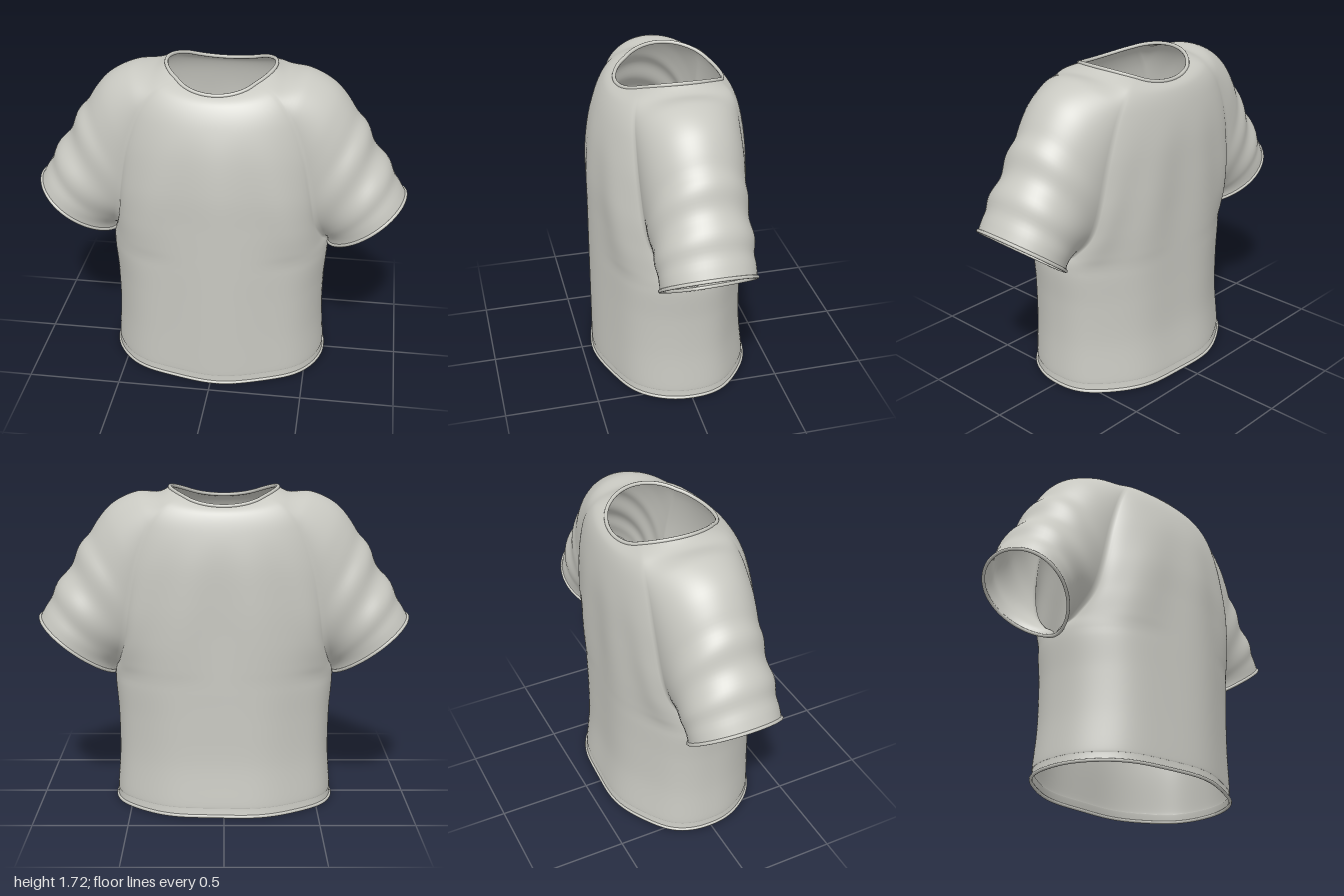
import * as THREE from 'three';
import { mergeVertices } from 'three/addons/utils/BufferGeometryUtils.js';

// Rows run from the neck (0) past the armpit (7) to the hem (12).
// yC, yE: height at centre and at sleeve seam; sx: seam x; dF, dB: front and back depth;
// A: arc angle of the panels; Z, C: half depth and arc angle of the sleeve; tx, ty: top of the sleeve
const ROWS = [
  // yC   yE    sx    dF    dB    A     Z     C     tx    ty
  [1.64, 1.68, 0.20, 0.27, 0.28, 0.80, 0.28, 0.77, 0.285, 1.715],
  [1.60, 1.64, 0.30, 0.32, 0.32, 0.80, 0.28, 1.05, 0.35, 1.685],
  [1.50, 1.52, 0.39, 0.37, 0.35, 0.85, 0.27, 1.38, 0.47, 1.685],
  [1.35, 1.32, 0.46, 0.41, 0.37, 0.95, 0.265, 1.60, 0.61, 1.61],
  [1.15, 1.10, 0.50, 0.43, 0.375, 1.20, 0.255, 1.80, 0.73, 1.45],
  [0.95, 0.92, 0.525, 0.43, 0.375, 1.40, 0.25, 2.20, 0.82, 1.305],
  [0.80, 0.80, 0.56, 0.43, 0.375, 1.50, 0.245, 2.70, 0.91, 1.16],
  [0.70, 0.71, 0.59, 0.43, 0.375, 1.57, 0.24, 3.1416, 0.99, 1.02],
  [0.50, 0.50, 0.577, 0.43, 0.375, 1.5708, 0.24, 3.1416, 0.99, 1.02],
  [0.28, 0.28, 0.575, 0.43, 0.38, 1.5708, 0.24, 3.1416, 0.99, 1.02],
  [0.075, 0.075, 0.588, 0.43, 0.403, 1.5708, 0.24, 3.1416, 0.99, 1.02],
  [0.055, 0.055, 0.585, 0.427, 0.402, 1.5708, 0.24, 3.1416, 0.99, 1.02],
  [0.012, 0.012, 0.59, 0.43, 0.41, 1.5708, 0.24, 3.1416, 0.99, 1.02],
];
const ARMPIT = 7, HEM = ROWS.length - 1, STEPS = 8;

// Smooth interpolation of every column of the table
function rowAt(t) {
  const i = Math.min(Math.floor(t), HEM - 1), f = t - i;
  const at = (k) => ROWS[Math.max(0, Math.min(HEM, k))];
  const [p, q, r, s] = [at(i - 1), at(i), at(i + 1), at(i + 2)];
  const v = q.map((b, c) => {
    const m = (r[c] - p[c]) / 2, n = (s[c] - b) / 2, d = r[c] - b;
    return b + f * (m + f * (3 * d - 2 * m - n + f * (m + n - 2 * d)));
  });
  const [yC, yE, sx, dF, dB, A, Z, C, tx, ty] = v;
  const arc = t >= ARMPIT ? Math.PI : Math.min(C, Math.PI);
  return { yC, yE, sx, dF, dB, A: Math.min(A, Math.PI / 2), Z, C: arc, tx, ty,
    sz: t >= ARMPIT ? 0 : Z * Math.sin(arc), z0: -0.02 + 0.01 * Math.min(1, t / 2) };
}

// Front (s = 1) or back (s = -1) panel, a from -1 to 1 across it
function panelPoint(s, t, a) {
  const r = rowAt(t);
  const k = Math.max(0, (Math.cos(a * r.A) - Math.cos(r.A)) / (1 - Math.cos(r.A)));
  const fold = 0.008 * Math.sin(a * 11 + s) * (1 - a * a) * THREE.MathUtils.smoothstep(t, 2, 5);
  const depth = (s > 0 ? r.dF - r.z0 : r.dB + r.z0) - r.sz;
  return new THREE.Vector3(
    s * r.sx * Math.sin(a * r.A) / Math.sin(r.A),
    THREE.MathUtils.lerp(r.yC, r.yE, a * a),
    r.z0 + s * (r.sz + depth * Math.pow(k, 0.88) + fold));
}

// Left (s = 1) or right (s = -1) sleeve, b from -1 to 1 over the shoulder
function sleevePoint(s, t, b) {
  const r = rowAt(t);
  const h = Math.max(0, (Math.cos(b * r.C) - Math.cos(r.C)) / (1 - Math.cos(r.C)));
  const k = Math.pow(h, THREE.MathUtils.lerp(1, 0.82, t / ARMPIT));
  // soft creases round the sleeve and a raised cuff hem
  const wave = 0.009 * Math.sin((t - 4) * 4.5 + 1.2 * b) * THREE.MathUtils.smoothstep(t, 3.5, 4.2)
    * (1 - THREE.MathUtils.smoothstep(t, 6, 6.6)) * (1 - b * b);
  return new THREE.Vector3(
    s * (r.sx + (r.tx - r.sx) * k + wave * k * 0.8),
    r.yE + (r.ty - r.yE) * k + wave * k * 0.6,
    r.z0 - s * (r.Z + wave) * Math.sin(b * r.C));
}

// Four patches that share their seams, welded into one smooth cloth
function clothGeometry() {
  const pos = [], index = [];
  const patch = (fn, s, tEnd, cols) => {
    const base = pos.length / 3, rows = tEnd * STEPS;
    for (let i = 0; i <= rows; i++) {
      for (let j = 0; j <= cols; j++) pos.push(...fn(s, i / STEPS, -1 + 2 * j / cols).toArray());
    }
    for (let i = 0; i < rows; i++) {
      for (let j = 0; j < cols; j++) {
        const p = base + i * (cols + 1) + j, q = p + cols + 1;
        index.push(p, q, p + 1, q, q + 1, p + 1);
      }
    }
  };
  for (const s of [1, -1]) {
    patch(panelPoint, s, HEM, 56);
    patch(sleevePoint, s, ARMPIT, 48);
  }
  const geo = new THREE.BufferGeometry();
  geo.setAttribute('position', new THREE.Float32BufferAttribute(pos, 3));
  geo.setIndex(index);
  const welded = mergeVertices(geo, 1e-4);
  welded.computeVertexNormals();
  return welded;
}

export function createModel() {
  const group = new THREE.Group();
  group.name = 'tShirt';
  const cloth = new THREE.MeshStandardMaterial({ color: 0xc8c8c1, side: THREE.DoubleSide });
  cloth.name = 'pale grey cloth';

  const add = (name, geo) => {
    const mesh = new THREE.Mesh(geo, cloth);
    mesh.name = name;
    group.add(mesh);
  };
  add('bodyAndSleeves', clothGeometry());

  // Rolled edges round each opening
  const run = (fn, s, t, n = 32) =>
    Array.from({ length: n }, (_, j) => fn(s, t, -1 + 2 * j / n));
  const rim = (name, points, radius) => add(name, new THREE.TubeGeometry(
    new THREE.CatmullRomCurve3(points, true), 128, radius, 8, true));
  rim('neckRim', [
    ...run(panelPoint, 1, 0, 12), ...run(sleevePoint, 1, 0, 12),
    ...run(panelPoint, -1, 0, 12), ...run(sleevePoint, -1, 0, 12)], 0.01);
  rim('bottomHem', [...run(panelPoint, 1, HEM), ...run(panelPoint, -1, HEM)], 0.009);
  rim('leftCuff', run(sleevePoint, 1, ARMPIT), 0.009);
  rim('rightCuff', run(sleevePoint, -1, ARMPIT), 0.009);
  return group;
}
